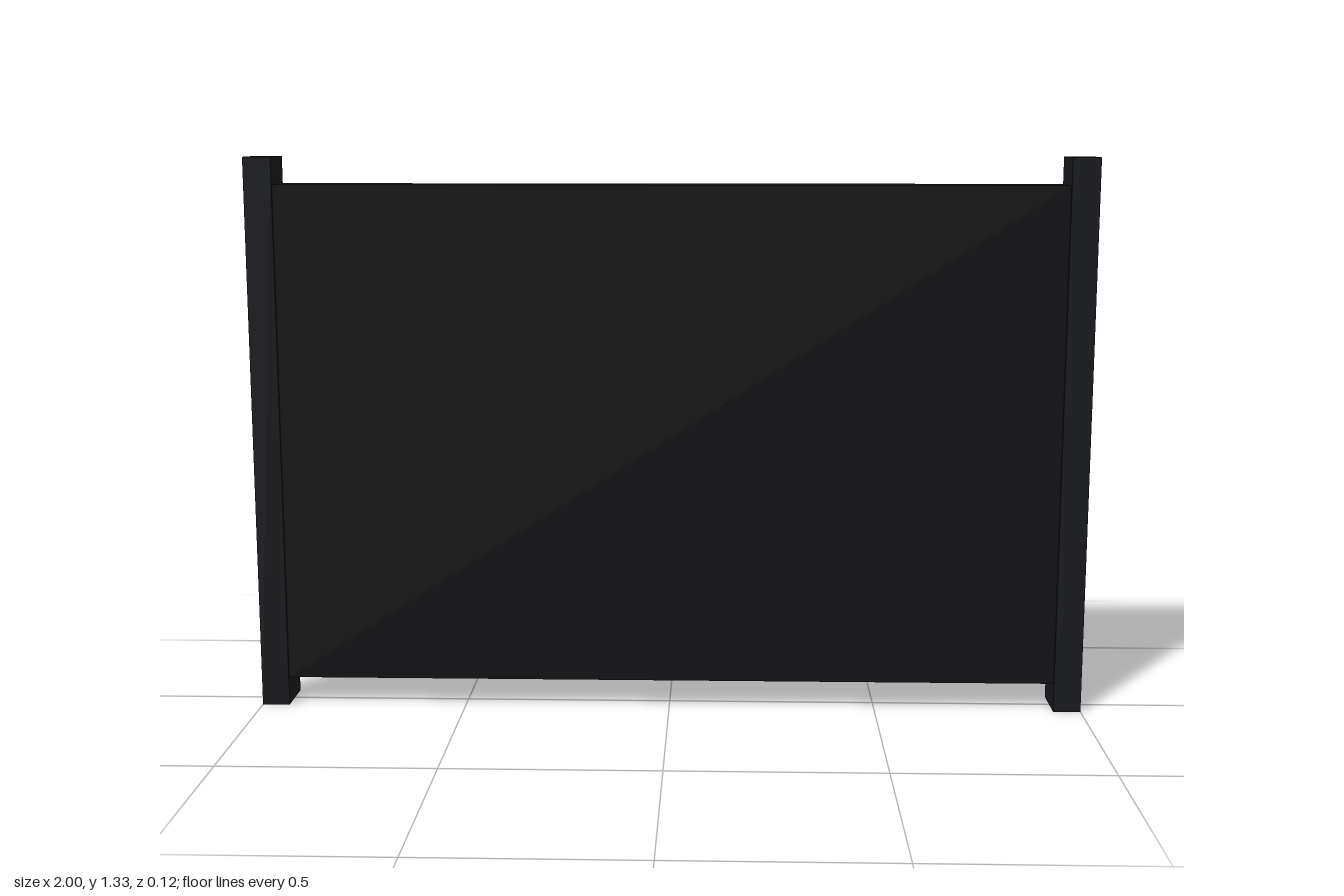
import * as THREE from 'three';

export function createModel() {
  const group = new THREE.Group();
  const postMaterial = new THREE.MeshStandardMaterial({ color: 0x17181c });
  const panelMaterial = new THREE.MeshStandardMaterial({ color: 0x0f1012 });

  const addBox = (name, size, position, material) => {
    const mesh = new THREE.Mesh(new THREE.BoxGeometry(...size), material);
    mesh.name = name;
    mesh.position.set(...position);
    group.add(mesh);
  };

  const height = 1.333, postWidth = 0.066, postDepth = 0.117;
  const panelHeight = 1.2, panelDepth = 0.104;

  // Upright posts at both ends
  for (const side of [-1, 1]) {
    addBox(side > 0 ? 'leftPost' : 'rightPost', [postWidth, height, postDepth],
      [side * (1 - postWidth / 2), height / 2, 0], postMaterial);
  }

  // Panel held between the posts, raised off the ground
  addBox('panel', [2 - 2 * postWidth, panelHeight, panelDepth],
    [0, height / 2 + 0.002, 0], panelMaterial);

  return group;
}
